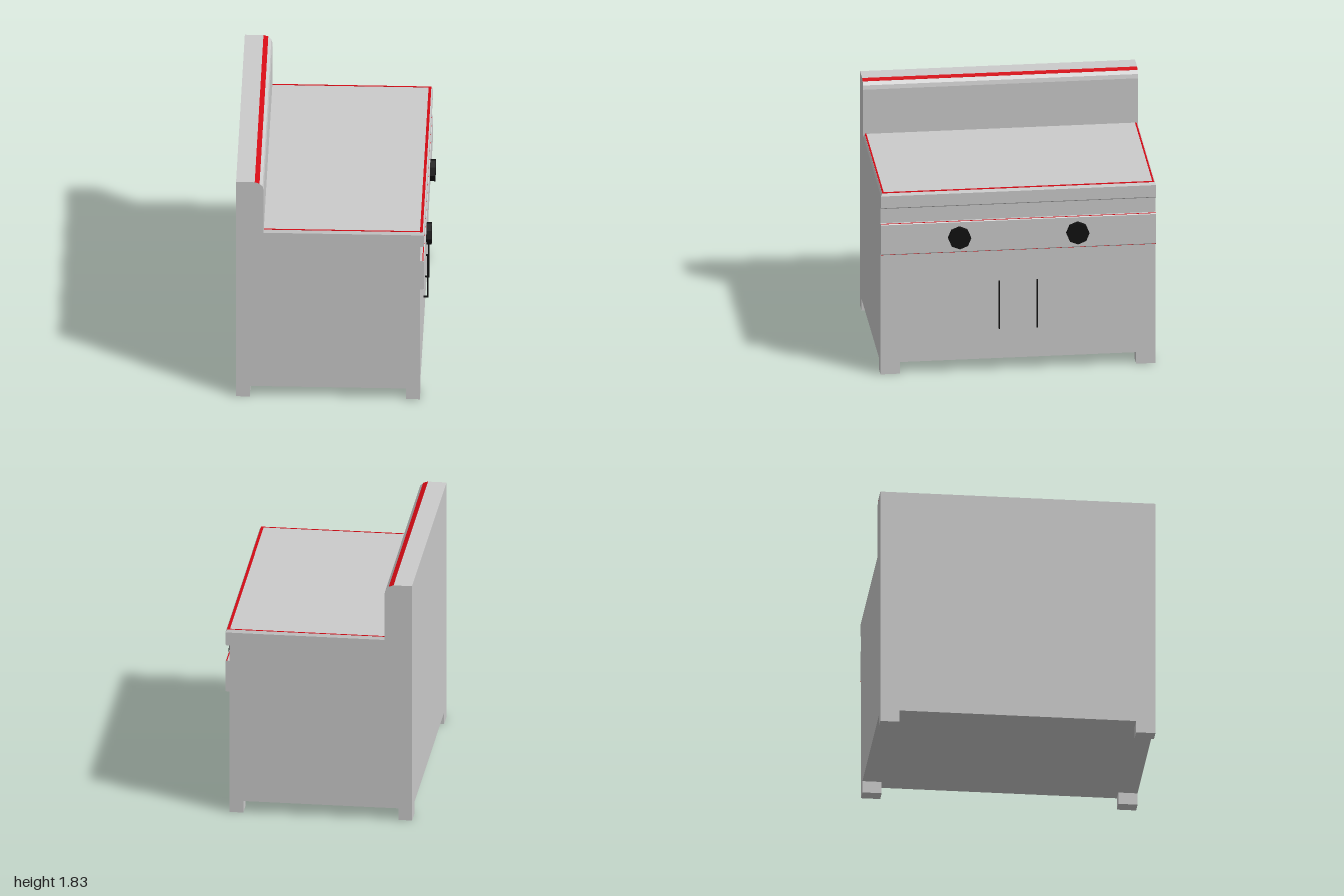
import * as THREE from 'three';

const grey = new THREE.MeshStandardMaterial({ color: 0xcccccc });
const red = new THREE.MeshStandardMaterial({ color: 0xd40a14 });
const black = new THREE.MeshStandardMaterial({ color: 0x111111 });

export function createModel() {
  const model = new THREE.Group();

  const add = (name, geometry, material = grey) => {
    const mesh = new THREE.Mesh(geometry, material);
    mesh.name = name;
    model.add(mesh);
    return mesh;
  };
  // Box given by its minimum and maximum corners
  const box = (name, x0, x1, y0, y1, z0, z1, material) =>
    add(name, new THREE.BoxGeometry(x1 - x0, y1 - y0, z1 - z0), material)
      .position.set((x0 + x1) / 2, (y0 + y1) / 2, (z0 + z1) / 2);
  // Side profile in x and y, extruded over the full width
  const profile = (name, points, material) => {
    const shape = new THREE.Shape(points.map(([x, y]) => new THREE.Vector2(x, y)));
    const geometry = new THREE.ExtrudeGeometry(shape, { depth: 2, bevelEnabled: false });
    add(name, geometry.translate(0, 0, -1), material);
  };

  // Cabinet with rounded backsplash and overhanging worktop lip
  profile('cabinetBody', [
    [-0.7, 0.09], [0.63, 0.09], [0.63, 1.3], [0.652, 1.3], [0.66, 1.308], [0.66, 1.4],
    [-0.5, 1.4], [-0.5, 1.765], [-0.508, 1.795], [-0.53, 1.818], [-0.565, 1.83], [-0.7, 1.83],
  ]);
  profile('backsplashStripe', [
    [-0.565, 1.829], [-0.53, 1.817], [-0.53, 1.819], [-0.565, 1.831],
  ], red);

  // Worktop slab, its upper edge drawn in on the three free sides
  const top = new THREE.BoxGeometry(1.16, 0.02, 2).translate(0.08, 1.41, 0);
  const p = top.attributes.position;
  for (let i = 0; i < p.count; i++) {
    if (p.getY(i) < 1.41) continue;
    if (p.getX(i) > 0) p.setX(i, 0.65);
    p.setZ(i, Math.sign(p.getZ(i)) * 0.99);
  }
  top.computeVertexNormals();
  add('worktop', top);

  // Red trim around the worktop
  box('worktopFrontTrim', 0.63, 0.65, 1.419, 1.4215, -0.99, 0.99, red);
  for (const s of [-1, 1]) {
    const z = s * 0.983;
    box('worktopSideTrim', -0.5, 0.63, 1.419, 1.4215, z - 0.006, z + 0.006, red);
  }

  // Control panel with red edges
  profile('controlPanel', [
    [0.62, 0.94], [0.653, 0.94], [0.66, 0.946], [0.66, 1.174], [0.653, 1.18], [0.62, 1.18],
  ]);
  box('panelTopTrim', 0.647, 0.654, 1.178, 1.181, -1, 1, red);
  box('panelBottomTrim', 0.647, 0.654, 0.939, 0.942, -1, 1, red);

  for (const s of [-1, 1]) {
    // Eight-sided knob
    const knob = add('knob', new THREE.CylinderGeometry(0.083, 0.083, 0.04, 8).toNonIndexed(), black);
    knob.geometry.computeVertexNormals();
    knob.rotation.z = -Math.PI / 2;
    knob.position.set(0.678, 1.06, s * 0.43);

    // Door handle: grip and two posts
    const z = s * 0.138;
    box('handleGrip', 0.653, 0.663, 0.33, 0.695, z - 0.005, z + 0.005, black);
    for (const y of [0.33, 0.685])
      box('handlePost', 0.625, 0.655, y, y + 0.01, z - 0.005, z + 0.005, black);

    // Feet
    const [z0, z1] = s > 0 ? [0.86, 1] : [-1, -0.86];
    box('backFoot', -0.7, -0.6, 0, 0.09, z0, z1);
    box('frontFoot', 0.53, 0.63, 0, 0.09, z0, z1);
  }

  return model;
}
